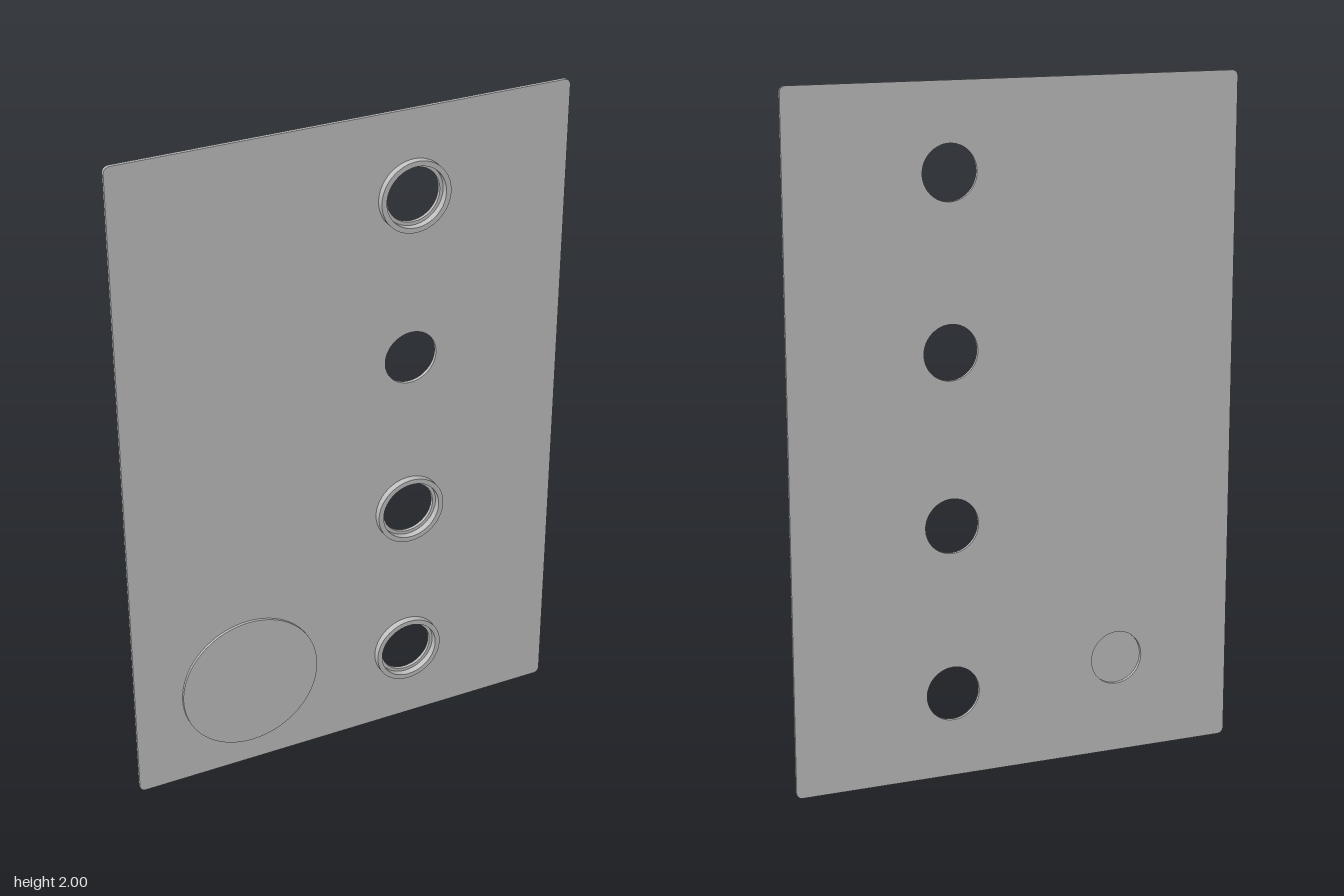
import * as THREE from 'three';

const HALF_W = 0.675, HEIGHT = 2, THICK = 0.01, CORNER = 0.018;
const HOLE_R = 0.08, HOLE_X = 0.2;
const DISC = { x: -0.315, y: 0.29, r: 0.214 };

function circlePath(x, y, r) {
  return new THREE.Path().absarc(x, y, r, 0, Math.PI * 2, true);
}

function extrude(shape, depth) {
  return new THREE.ExtrudeGeometry(shape, { depth, bevelEnabled: false, curveSegments: 32 });
}

export function createModel() {
  const model = new THREE.Group();
  model.name = 'panel';
  const grey = new THREE.MeshStandardMaterial({ color: 0xc0c0c0 });
  grey.name = 'plain grey';

  function add(name, geometry, x, y, z) {
    const mesh = new THREE.Mesh(geometry, grey);
    mesh.name = name;
    mesh.position.set(x, y, z);
    model.add(mesh);
  }

  // Thin plate with rounded corners
  const w = HALF_W, h = HEIGHT, c = CORNER, q = Math.PI / 2;
  const plate = new THREE.Shape();
  plate.absarc(w - c, c, c, -q, 0, false);
  plate.absarc(w - c, h - c, c, 0, q, false);
  plate.absarc(-w + c, h - c, c, q, 2 * q, false);
  plate.absarc(-w + c, c, c, 2 * q, 3 * q, false);
  plate.closePath();

  // Four holes in a column, and one behind the disc
  for (const y of [0.25, 0.75, 1.25, 1.75]) plate.holes.push(circlePath(HOLE_X, y, HOLE_R));
  plate.holes.push(circlePath(DISC.x, DISC.y, HOLE_R));
  add('plate', extrude(plate, THICK), 0, 0, -THICK / 2);

  // Raised collars around three of the holes
  const ring = new THREE.Shape().absarc(0, 0, 0.105, 0, Math.PI * 2, false);
  ring.holes.push(circlePath(0, 0, 0.09));
  const ringGeometry = extrude(ring, 0.02);
  for (const y of [0.25, 0.75, 1.75]) add('collar', ringGeometry, HOLE_X, y, THICK / 2);

  // Shallow round pad on the front
  const disc = new THREE.CylinderGeometry(DISC.r, DISC.r, 0.008, 64);
  disc.rotateX(Math.PI / 2);
  add('pad', disc, DISC.x, DISC.y, THICK / 2 + 0.004);

  // The whole panel stands turned about the upright axis
  model.rotation.y = -Math.atan(0.5);
  return model;
}
